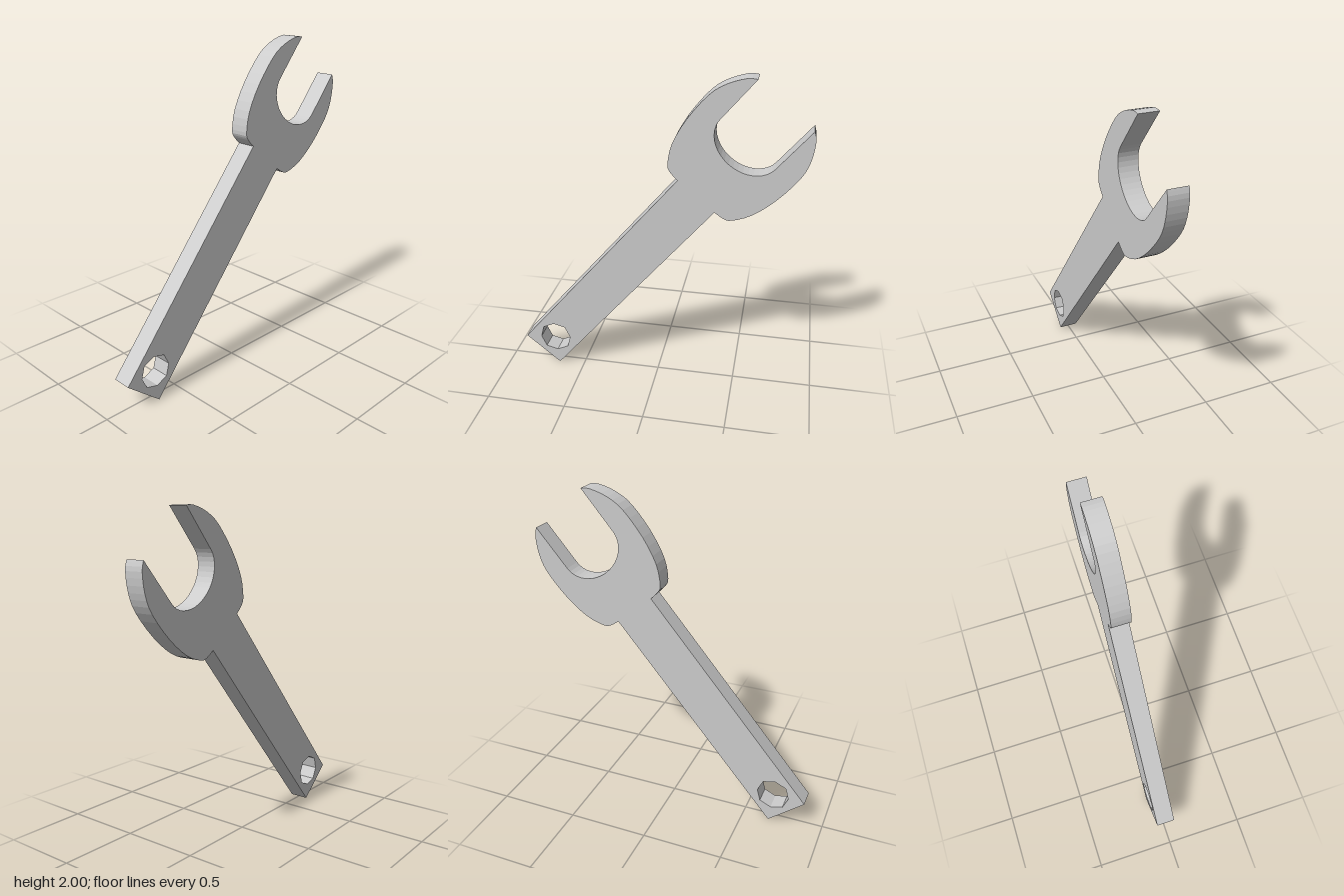
import * as THREE from 'three';

const THICKNESS = 0.12;

// Open-ended spanner outline, symmetric about its long axis (v up, handle end at v = 0)
function spannerShape() {
  const halfWidth = 0.143;

  // Rounded outer side of one jaw, from the handle neck to the jaw tip
  const jaw = new THREE.SplineCurve([
    [halfWidth, 1.573], [0.206, 1.58], [0.249, 1.606], [0.31, 1.715], [0.344, 1.881],
    [0.346, 2.069], [0.314, 2.181], [0.254, 2.276], [0.208, 2.312],
  ].map(([u, v]) => new THREE.Vector2(u, v))).getPoints(24);

  // Half-elliptical bottom of the mouth, from right to left
  const mouth = new THREE.EllipseCurve(0, 2.01, 0.208, 0.16, 0, Math.PI, true).getPoints(20);

  const mirrored = jaw.map(p => new THREE.Vector2(-p.x, p.y)).reverse();
  const shape = new THREE.Shape([
    new THREE.Vector2(-halfWidth, 0),
    new THREE.Vector2(halfWidth, 0),
    ...jaw, ...mouth, ...mirrored,
  ]);

  // Eight-sided hanging hole near the handle end
  const hole = [];
  for (let i = 0; i < 8; i++) {
    const a = -i * Math.PI / 4;
    const r = i % 2 ? 0.1 : 0.104;
    hole.push(new THREE.Vector2(r * Math.cos(a), 0.142 + r * Math.sin(a)));
  }
  shape.holes.push(new THREE.Path(hole));
  return shape;
}

export function createModel() {
  const group = new THREE.Group();
  group.name = 'wrench';

  const geometry = new THREE.ExtrudeGeometry(spannerShape(), {
    depth: THICKNESS, bevelEnabled: false,
  });
  geometry.translate(0, 0, -THICKNESS / 2);

  const body = new THREE.Mesh(geometry, new THREE.MeshStandardMaterial({ color: 0xcccccc, flatShading: true }));
  body.name = 'wrenchBody';

  // Lean the tool to the side with its lowest corner on the ground
  body.rotation.z = -THREE.MathUtils.degToRad(40);
  body.position.set(-0.776, 0.093, 0);
  group.add(body);
  return group;
}
